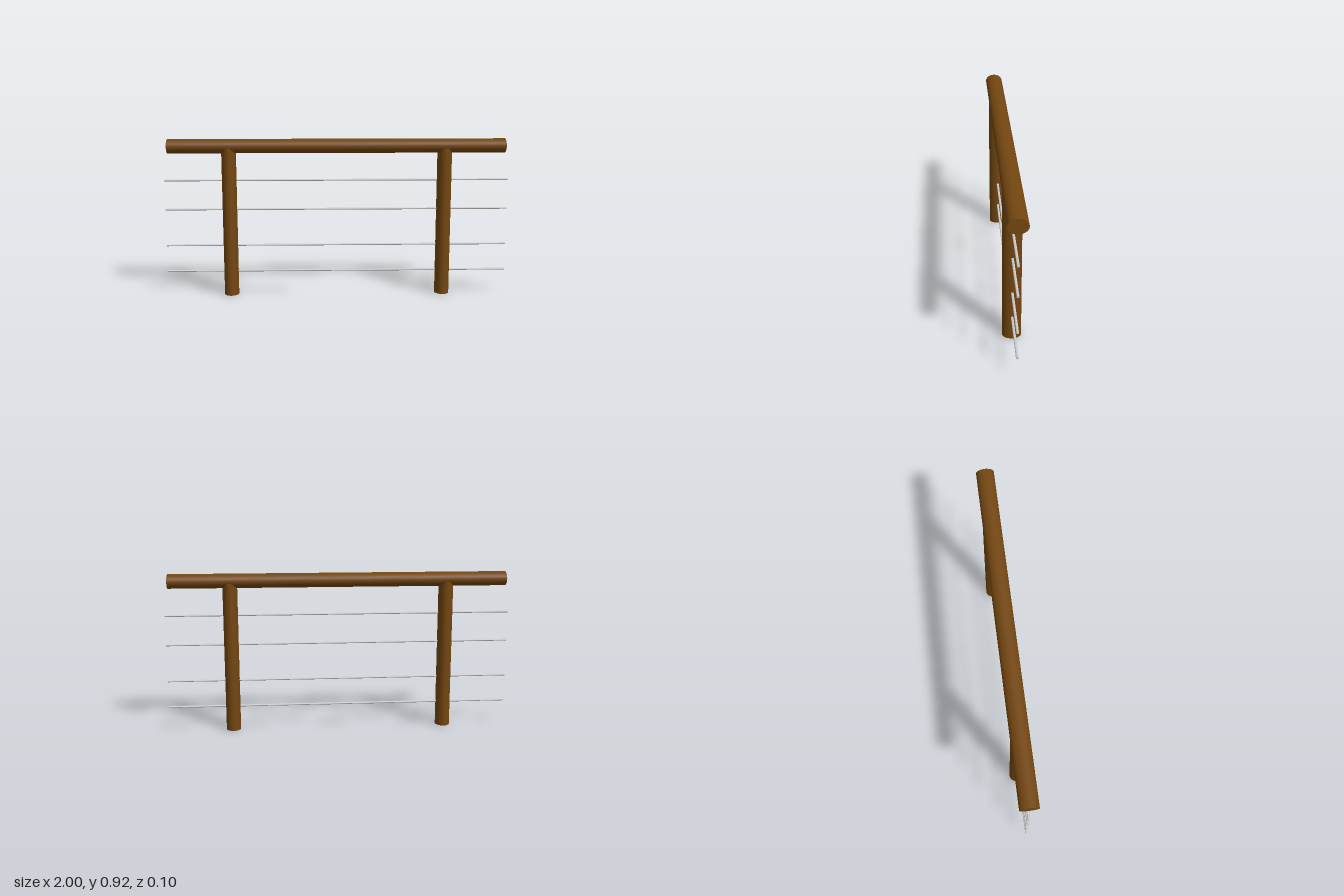
import * as THREE from 'three';

const wood = new THREE.MeshStandardMaterial({ color: 0x734610 });
const metal = new THREE.MeshStandardMaterial({ color: 0xcccccc });

// Capped round bar, slightly deeper in z than across
function bar(name, radius, depthRadius, length, sides, material) {
  const geometry = new THREE.CylinderGeometry(radius, radius, length, sides);
  geometry.scale(1, 1, depthRadius / radius);
  const mesh = new THREE.Mesh(geometry, material);
  mesh.name = name;
  return mesh;
}

export function createModel() {
  const railing = new THREE.Group();
  railing.name = 'railing';

  // Handrail lying along x
  const handrail = bar('handrail', 0.041, 0.052, 1.95, 48, wood);
  handrail.rotation.z = Math.PI / 2;
  handrail.position.y = 0.879;
  railing.add(handrail);

  // Two posts, their tops sunk into the handrail
  const postHeight = 0.866;
  for (const [name, side] of [['leftPost', 1], ['rightPost', -1]]) {
    const post = bar(name, 0.042, 0.052, postHeight, 48, wood);
    post.position.set(side * 0.626, postHeight / 2, 0);
    railing.add(post);
  }

  // Thin horizontal rods passing through the posts
  [0.14, 0.296, 0.51, 0.681].forEach((y, i) => {
    const rod = bar(`rod${i + 1}`, 0.0055, 0.007, 2, 20, metal);
    rod.rotation.z = Math.PI / 2;
    rod.position.y = y;
    railing.add(rod);
  });

  return railing;
}
